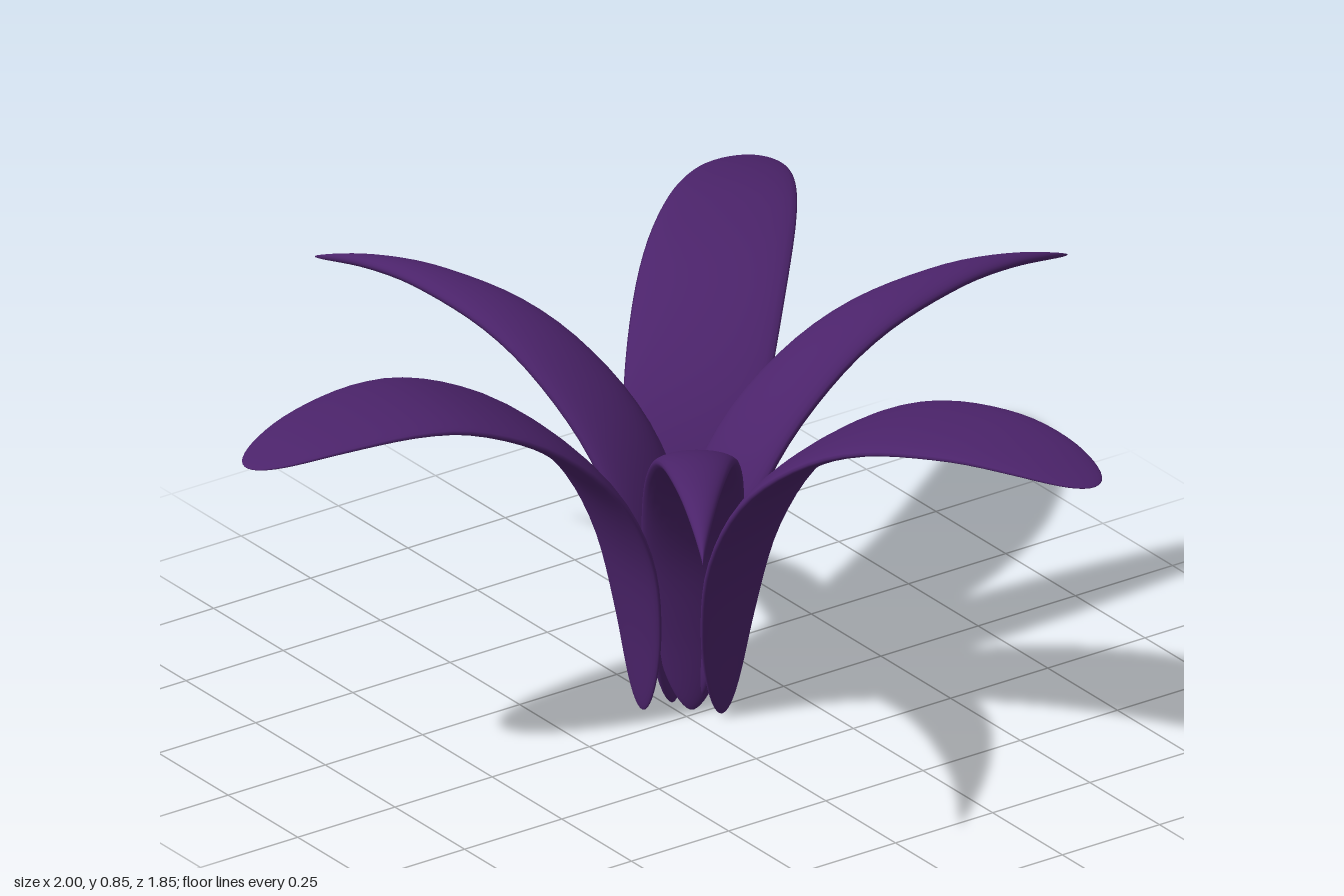
import * as THREE from 'three';

// Arching midlines: distance outward from the base, height
const arc = (points) => new THREE.SplineCurve(points.map(([r, y]) => new THREE.Vector2(r, y)));
const lowArc = arc([
  [0, 0], [0.01, 0.2], [0.05, 0.4], [0.145, 0.575], [0.29, 0.705],
  [0.45, 0.782], [0.645, 0.816], [0.8, 0.812], [0.945, 0.785],
]);
const highArc = arc([
  [0, 0], [0.008, 0.2], [0.045, 0.4], [0.135, 0.575], [0.28, 0.717],
  [0.45, 0.805], [0.6, 0.834], [0.78, 0.822], [0.945, 0.785],
]);
const REACH = 0.945;

// Half width and half thickness along the petal, t = 0 (base) to 1 (tip)
const round = (t) => 2 * Math.sqrt(t * (1 - t));
const wide = (t) => [0.162 * round(t) * (0.83 + 0.28 * t), 0.023 * round(t)];
const pointed = (t) => [
  0.33 * Math.pow(t, 0.6) * Math.pow(1 - t, 1.15),
  0.034 * round(t) * (1 - 0.35 * t),
];

// Flattened elliptical sections swept along the midline from base to tip
function petalGeometry(base, tip, section, midline, rows = 48, sides = 28) {
  const span = new THREE.Vector2(tip[0] - base[0], tip[1] - base[1]);
  const stretch = span.length() / REACH;
  const dir = new THREE.Vector3(span.x, 0, span.y).normalize();
  const side = new THREE.Vector3(-dir.z, 0, dir.x);
  const positions = [];
  const index = [];
  for (let i = 0; i <= rows; i++) {
    // closer rows near both ends keep the ends round
    const t = THREE.MathUtils.clamp((1 - Math.cos((Math.PI * i) / rows)) / 2, 0, 1);
    const p = midline.getPointAt(t);
    const tan = midline.getTangentAt(t);
    const [w, h] = section(t);
    const normal = dir.clone().multiplyScalar(-tan.y);
    normal.y = tan.x;
    for (let j = 0; j < sides; j++) {
      const a = (j / sides) * Math.PI * 2;
      const v = new THREE.Vector3(base[0], p.y, base[1])
        .addScaledVector(dir, p.x * stretch)
        .addScaledVector(side, w * Math.cos(a))
        .addScaledVector(normal, h * Math.sin(a));
      positions.push(v.x, Math.max(v.y, 0), v.z);
      if (i < rows) {
        const k = i * sides + j;
        const n = i * sides + ((j + 1) % sides);
        index.push(k, k + sides, n, n, k + sides, n + sides);
      }
    }
  }
  const geometry = new THREE.BufferGeometry();
  geometry.setAttribute('position', new THREE.Float32BufferAttribute(positions, 3));
  geometry.setIndex(index);
  geometry.computeVertexNormals();
  return geometry;
}

export function createModel() {
  const model = new THREE.Group();
  model.name = 'flower';
  const material = new THREE.MeshStandardMaterial({ color: 0x4b236a });

  // Base and tip of each petal as [x, z]
  const petals = [
    ['widePetalRight', [-0.055, -0.085], [-1, -0.19], wide, highArc],
    ['widePetalBack', [0.08, -0.125], [0.742, -0.79], wide, lowArc],
    ['widePetalFront', [0.074, 0.03], [0.398, 0.922], wide, lowArc],
    ['pointedPetalLeft', [0.042, -0.035], [0.995, -0.02], pointed, lowArc],
    ['pointedPetalBack', [0.018, -0.073], [-0.29, -0.93], pointed, lowArc],
    ['pointedPetalFront', [0.028, -0.02], [-0.5, 0.757], pointed, lowArc],
  ];
  for (const [name, base, tip, section, midline] of petals) {
    const petal = new THREE.Mesh(petalGeometry(base, tip, section, midline), material);
    petal.name = name;
    model.add(petal);
  }
  return model;
}
